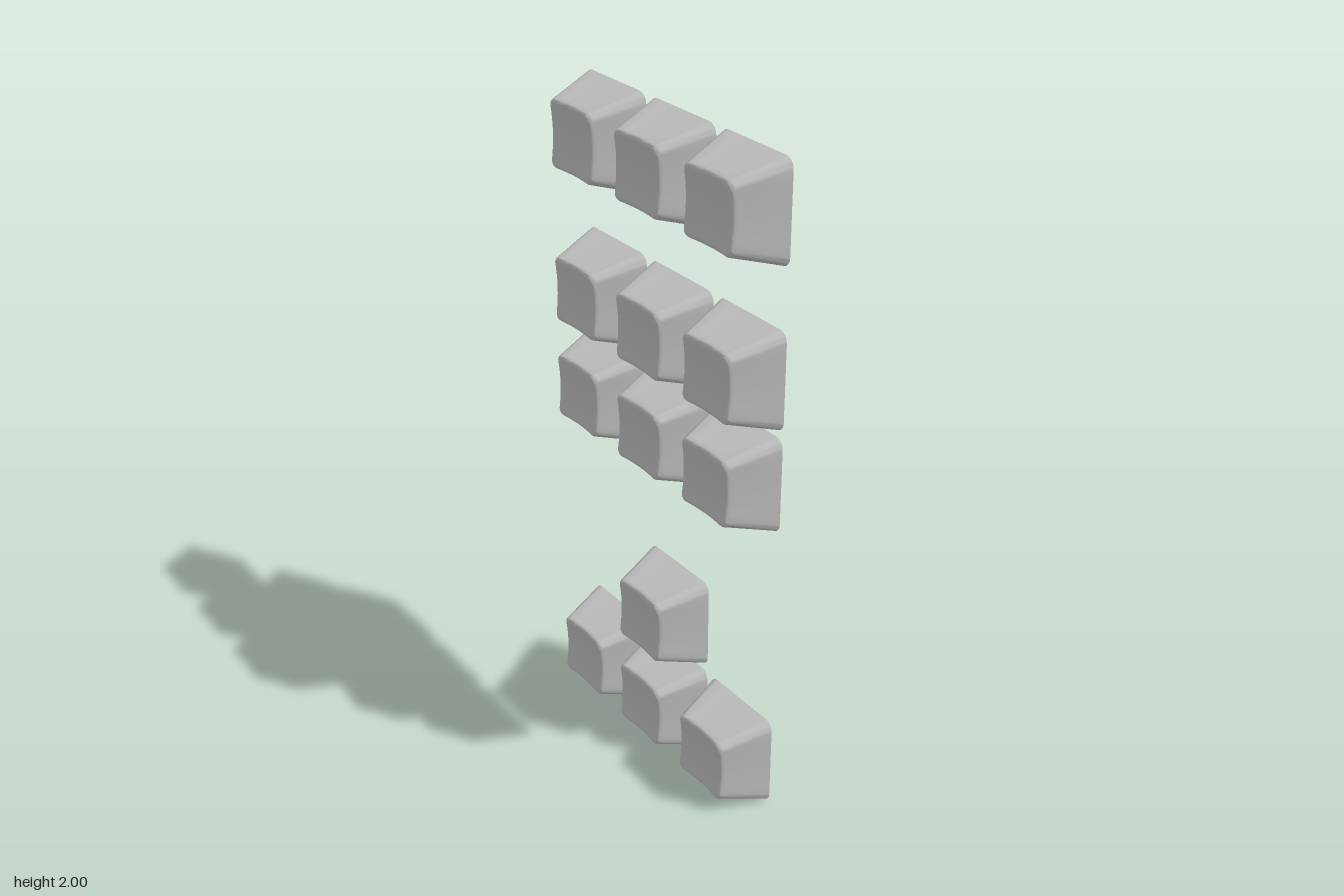
import * as THREE from 'three';
import { toCreasedNormals } from 'three/addons/utils/BufferGeometryUtils.js';

const BACK = -0.078; // open rim plane
const FLOOR = 0.045; // inside face of the cap top
const dish = (x, y) => 0.062 + 0.95 * (x * x + y * y);

// Rounded square outline, anticlockwise, with subdivided straight sides
function outline(hw, r) {
  const pts = [], arc = 6, side = 8, c = hw - r;
  for (let k = 0; k < 4; k++) {
    const cos = Math.round(Math.cos(k * Math.PI / 2)), sin = Math.round(Math.sin(k * Math.PI / 2));
    const add = (x, y) => pts.push([x * cos - y * sin, x * sin + y * cos]);
    for (let i = 1; i < side; i++) add(hw, -c + 2 * c * i / side);
    for (let i = 0; i <= arc; i++) {
      const a = i / arc * Math.PI / 2;
      add(c + r * Math.cos(a), c + r * Math.sin(a));
    }
  }
  return pts;
}

// Hollow cap: cavity floor, cavity wall, rim, outer wall, rounded edge, dished top
function shellGeometry() {
  const flat = (hw, r, z) => ({ hw, r, z: () => z });
  const top = (hw, r, drop) => ({ hw, r, z: (x, y) => dish(x, y) - drop });
  const sections = [
    flat(0, 0, FLOOR), flat(0.086, 0.012, FLOOR),
    flat(0.133, 0.02, BACK), flat(0.145, 0.03, BACK),
    top(0.1025, 0.024, 0.016), top(0.1, 0.022, 0.008), top(0.0965, 0.02, 0.003),
    top(0.092, 0.018, 0.0007), top(0.086, 0.016, 0),
    top(0.064, 0.012, 0), top(0.042, 0.008, 0), top(0.02, 0.004, 0), top(0, 0, 0),
  ];
  const pos = [], index = [];
  const n = outline(1, 0.1).length;
  sections.forEach(({ hw, r, z }, s) => {
    outline(hw, r).forEach(([x, y], j) => {
      pos.push(x, y, z(x, y));
      if (s === 0) return;
      const a = (s - 1) * n + j, b = (s - 1) * n + (j + 1) % n;
      if (s > 1) index.push(a, b, b + n);
      if (s < sections.length - 1) index.push(a, b + n, a + n);
    });
  });
  const geo = new THREE.BufferGeometry();
  geo.setAttribute('position', new THREE.Float32BufferAttribute(pos, 3));
  geo.setIndex(index);
  return toCreasedNormals(geo, 0.7);
}

// Tapered plate from the stem to the cavity wall
function ribGeometry() {
  const t = 0.011;
  const shape = new THREE.Shape([
    [0.038, BACK + 0.006], [0.133, BACK + 0.006], [0.088, FLOOR + 0.002], [0.038, FLOOR + 0.002],
  ].map(([x, y]) => new THREE.Vector2(x, y)));
  const geo = new THREE.ExtrudeGeometry(shape, { depth: t, bevelEnabled: false });
  return geo.translate(0, 0, -t / 2).rotateX(Math.PI / 2);
}

// Round post with a plus-shaped socket
function stemGeometry() {
  const shape = new THREE.Shape().absarc(0, 0, 0.041, 0, Math.PI * 2, false);
  const l = 0.031, w = 0.01;
  shape.holes.push(new THREE.Path([
    [w, -w], [w, -l], [-w, -l], [-w, -w], [-l, -w], [-l, w],
    [-w, w], [-w, l], [w, l], [w, w], [l, w], [l, -w],
  ].map(([x, y]) => new THREE.Vector2(x, y))));
  const geo = new THREE.ExtrudeGeometry(shape, {
    depth: FLOOR + 0.002 - BACK, bevelEnabled: false, curveSegments: 24,
  });
  return toCreasedNormals(geo.translate(0, 0, BACK), 0.6);
}

export function createModel() {
  const model = new THREE.Group();
  model.name = 'keycapCluster';
  const plastic = new THREE.MeshStandardMaterial({ color: 0xc0c0c0 });
  plastic.name = 'grey plastic';
  const shell = shellGeometry(), rib = ribGeometry(), stem = stemGeometry();

  const addKey = (x, y) => {
    const key = new THREE.Group();
    key.name = 'keycap';
    const add = (geo, name, turn = 0) => {
      const mesh = new THREE.Mesh(geo, plastic);
      mesh.name = name;
      mesh.rotation.z = turn;
      key.add(mesh);
    };
    add(shell, 'shell');
    add(stem, 'stem');
    for (let i = 0; i < 4; i++) add(rib, 'rib', i * Math.PI / 2);
    key.position.set(x, y, 0);
    model.add(key);
  };

  // Arrow keys, two navigation rows, then the top row; units are key pitches
  const pitch = 0.311;
  const rows = [[0, [-1, 0, 1]], [1, [0]], [3, [-1, 0, 1]], [4, [-1, 0, 1]], [5.5, [-1, 0, 1]]];
  for (const [row, columns] of rows) {
    for (const column of columns) addKey(column * pitch, 0.145 + row * pitch);
  }
  return model;
}
